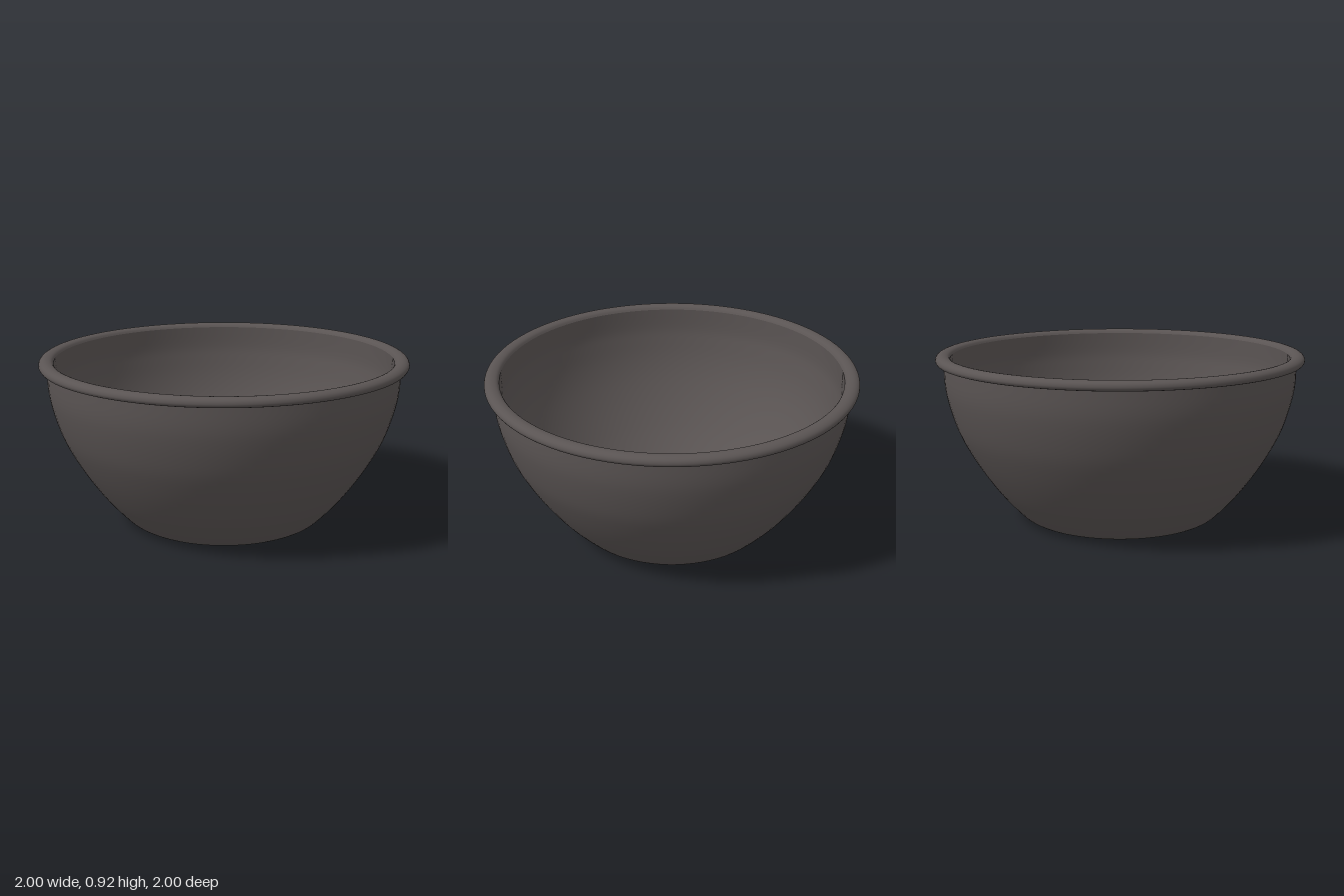
import * as THREE from 'three';

const SEGMENTS = 96;

// Smooth curve through a few [radius, height] points
function smooth(points, divisions) {
  return new THREE.SplineCurve(points.map(([r, y]) => new THREE.Vector2(r, y))).getPoints(divisions);
}

export function createModel() {
  const group = new THREE.Group();
  group.name = 'bowl';
  const charcoal = new THREE.MeshStandardMaterial({ color: 0x5a5453 });
  charcoal.name = 'charcoal';

  // Profiles run up the outside, over the rim and down the inside
  function turned(name, profile) {
    const mesh = new THREE.Mesh(new THREE.LatheGeometry(profile, SEGMENTS), charcoal);
    mesh.name = name;
    group.add(mesh);
  }

  // Flat base with a small rounded foot, then the curved outer wall
  turned('outerWall', [
    new THREE.Vector2(0, 0),
    new THREE.Vector2(0.48, 0),
    ...smooth([[0.505, 0.003], [0.53, 0.013], [0.565, 0.04], [0.64, 0.12], [0.705, 0.2], [0.775, 0.3],
      [0.835, 0.4], [0.885, 0.5], [0.92, 0.6], [0.945, 0.7], [0.955, 0.78], [0.957, 0.873]], 44),
  ]);

  // Rolled lip with a flat underside and a rounded top
  turned('rim', [
    new THREE.Vector2(0.95, 0.872),
    new THREE.Vector2(0.985, 0.872),
    ...smooth([[0.993, 0.875], [1, 0.888], [0.996, 0.904], [0.983, 0.915], [0.965, 0.92],
      [0.945, 0.918], [0.93, 0.911], [0.92, 0.898]], 24),
  ]);

  // Inner wall blending into a flat floor
  turned('innerWall', [
    ...smooth([[0.92, 0.898], [0.919, 0.78], [0.907, 0.7], [0.884, 0.6], [0.849, 0.5], [0.801, 0.4],
      [0.742, 0.3], [0.672, 0.2], [0.6, 0.115], [0.545, 0.06], [0.515, 0.043], [0.49, 0.038]], 44),
    new THREE.Vector2(0.47, 0.038),
    new THREE.Vector2(0, 0.038),
  ]);

  return group;
}
